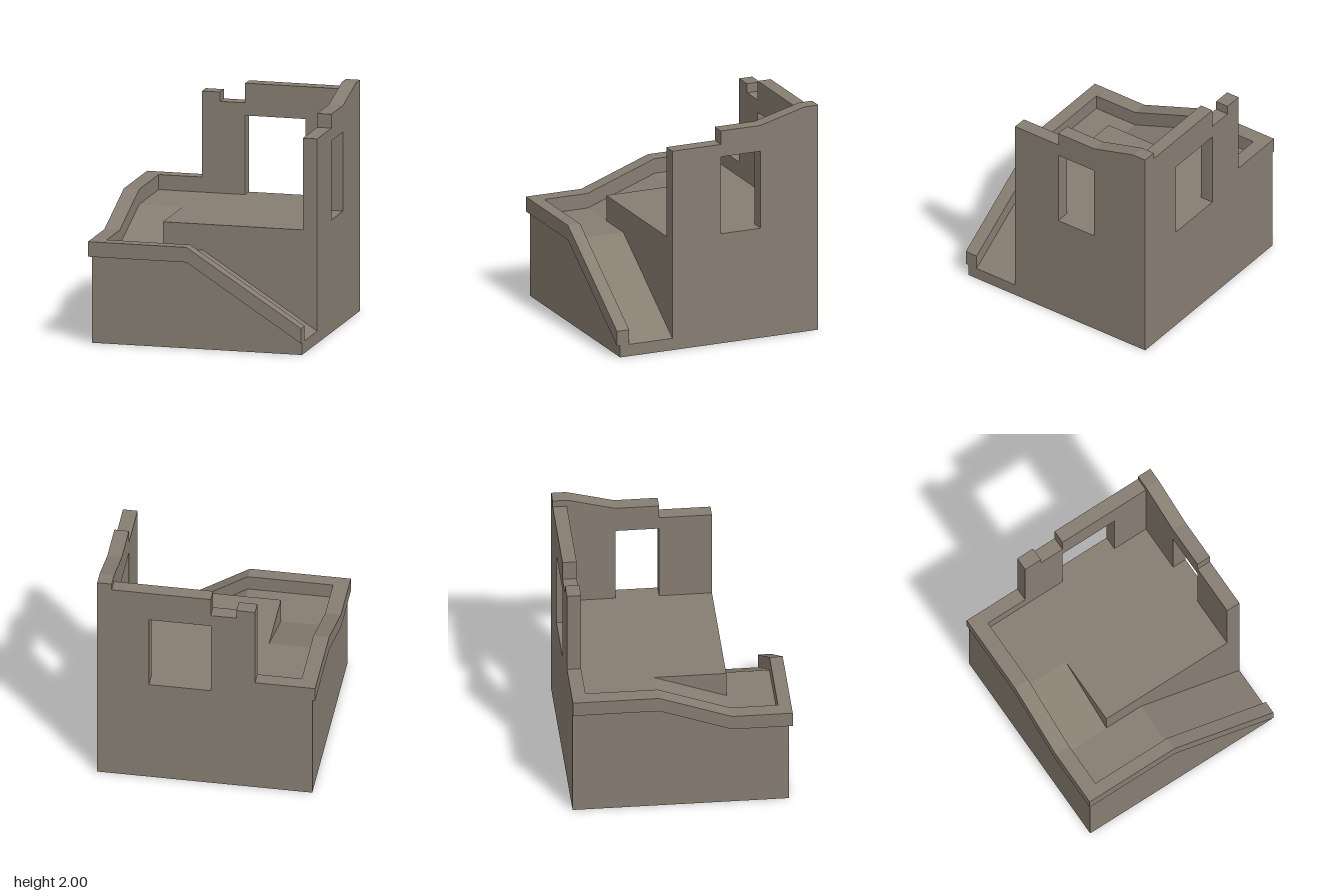
import * as THREE from 'three';

const E = 0.935;       // outer half width
const B = 0.91;        // base face, set back below the parapet
const IN = 0.81;       // inner faces of the walls
const Y0 = 0.75, Y1 = 0.975; // landing and floor heights
const CAP = 0.13;      // parapet height

const poly = (pts) => pts.map(([a, b]) => new THREE.Vector2(a, b));

// rectangular opening
const opening = (a0, a1, y0, y1) => new THREE.Path(poly([[a0, y0], [a1, y0], [a1, y1], [a0, y1]]));

export function createModel() {
  const group = new THREE.Group();
  const stone = new THREE.MeshStandardMaterial({ color: 0x877e72 });
  stone.name = 'stone';

  function add(name, geometry) {
    const mesh = new THREE.Mesh(geometry, stone);
    mesh.name = name;
    group.add(mesh);
  }
  function extrude(pts, depth, holes) {
    const shape = new THREE.Shape(poly(pts));
    shape.holes.push(...holes);
    return new THREE.ExtrudeGeometry(shape, { depth, bevelEnabled: false });
  }
  // profile in x,y running from z0 to z1
  function alongZ(name, pts, z0, z1, holes = []) {
    add(name, extrude(pts, z1 - z0, holes).translate(0, 0, z0));
  }
  // profile in z,y running from x0 to x1
  function alongX(name, pts, x0, x1, holes = []) {
    add(name, extrude(pts, x1 - x0, holes).rotateY(-Math.PI / 2).translate(x1, 0, 0));
  }

  // upper floor block
  const floorW = IN + 0.42, floorD = 0.42 + 0.815;
  add('upperFloor', new THREE.BoxGeometry(floorW, Y1, floorD)
    .translate((IN - 0.42) / 2, Y1 / 2, (0.42 - 0.815) / 2));

  // front landing with the long ramp down to the right
  alongZ('frontRamp', [[-B, 0], [E, 0], [E, 0.105], [-0.07, Y0], [-B, Y0]], 0.42, 0.905);

  // short ramp on the side from the landing to the upper floor
  alongX('sideRamp', [[0.42, 0], [0.42, Y0], [-0.2, Y1], [-0.815, Y1], [-0.815, 0]], -B, -0.42);

  // overhanging parapets following the ramps
  alongZ('frontParapet', [
    [-0.8, Y0], [-0.07, Y0], [E, 0.105], [E, 0.105 + CAP], [-0.07, Y0 + CAP], [-0.8, Y0 + CAP],
  ], 0.822, E);
  alongX('sideParapet', [
    [E, Y0], [0.42, Y0], [-0.2, Y1], [-E, Y1], [-E, Y1 + CAP], [-0.2, Y1 + CAP], [0.42, Y0 + CAP], [E, Y0 + CAP],
  ], -E, -0.8);

  // broken back wall with its window
  alongZ('backWall', [
    [-B, 0], [IN, 0], [IN, 1.94], [-0.04, 1.94], [-0.04, 1.77], [-0.26, 1.77], [-0.26, 1.85],
    [-0.42, 1.85], [-0.42, Y1 + CAP], [-0.8, Y1 + CAP], [-0.8, Y1], [-B, Y1],
  ], -E, -0.815, [opening(-0.04, 0.49, Y1, 1.66)]);

  // broken side wall with its window
  alongX('sideWall', [
    [0.42, 0], [0.42, 1.77], [-0.03, 1.77], [-0.03, 1.89], [-0.4, 1.89], [-0.81, 2], [-E, 2], [-E, 0],
  ], IN, E, [opening(-0.4, -0.03, Y1, 1.66)]);

  return group;
}
